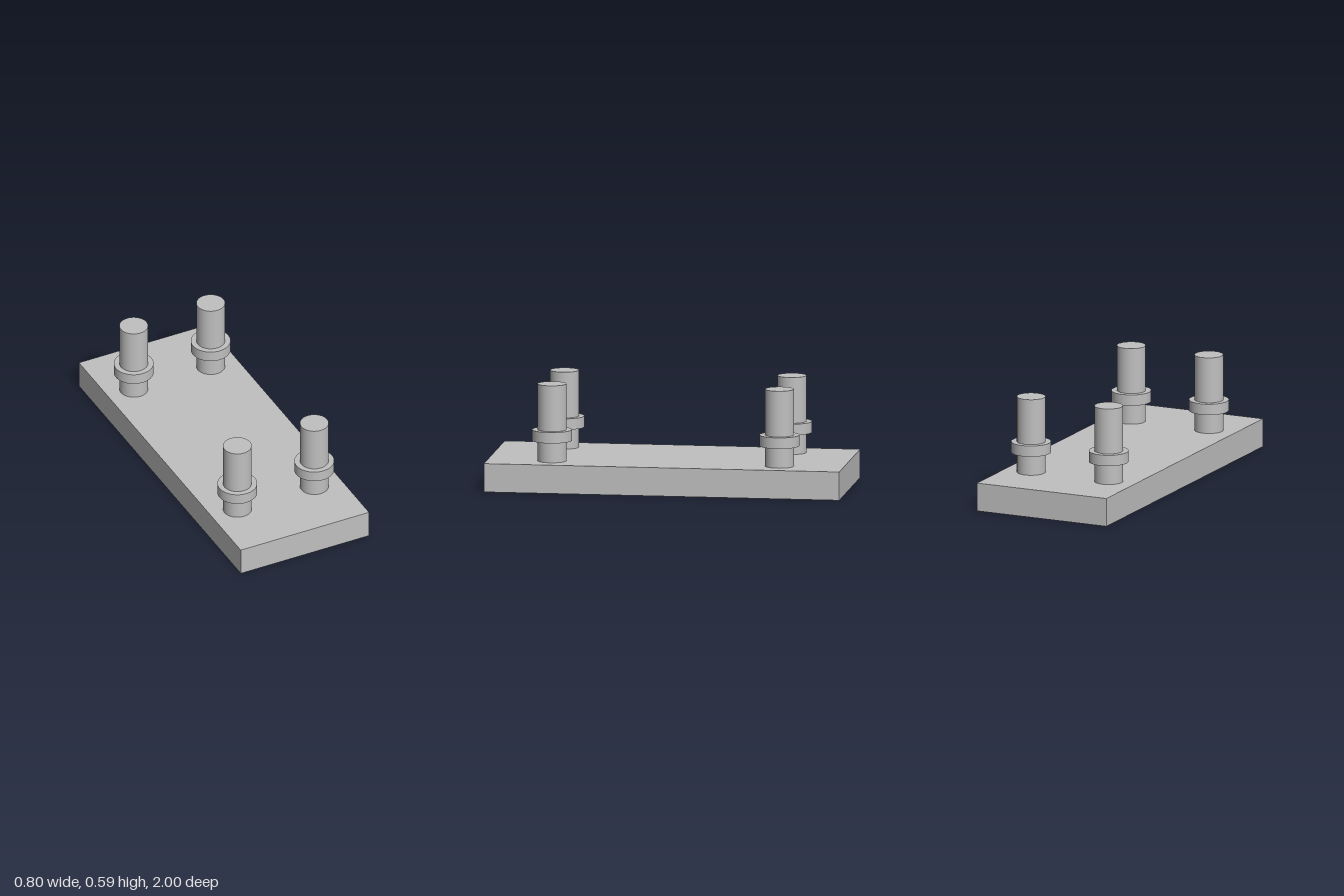
import * as THREE from 'three';

export function createModel() {
  const model = new THREE.Group();
  model.name = 'pegPlate';
  const grey = new THREE.MeshStandardMaterial({ color: 0xc0c0c0 });
  grey.name = 'light grey';

  const add = (parent, name, geometry, y) => {
    const mesh = new THREE.Mesh(geometry, grey);
    mesh.name = name;
    mesh.position.y = y;
    parent.add(mesh);
  };

  // Flat base slab
  add(model, 'basePlate', new THREE.BoxGeometry(0.8, 0.16, 2), 0.08);

  // Four collared pegs, mirrored across both axes
  const postGeometry = new THREE.CylinderGeometry(0.08, 0.08, 0.434, 48);
  const collarGeometry = new THREE.CylinderGeometry(0.111, 0.111, 0.062, 48);
  for (const z of [0.64, -0.64]) {
    for (const x of [0.24, -0.24]) {
      const peg = new THREE.Group();
      peg.name = `${z > 0 ? 'front' : 'back'}${x > 0 ? 'Left' : 'Right'}Peg`;
      peg.position.set(x, 0, z);
      add(peg, 'post', postGeometry, 0.377);
      add(peg, 'collar', collarGeometry, 0.305);
      model.add(peg);
    }
  }
  return model;
}
